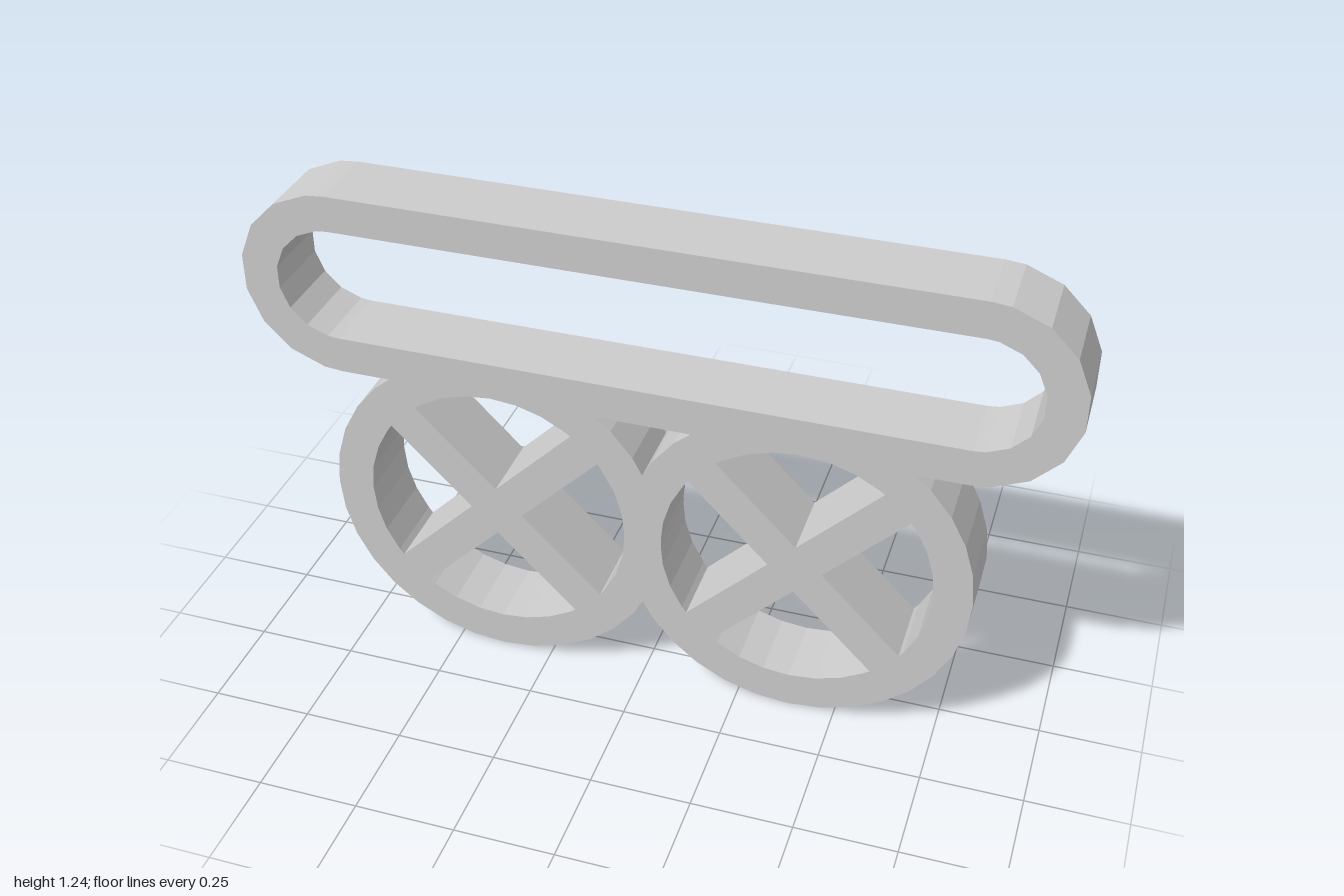
import * as THREE from 'three';

const DEPTH = 0.188;

// Points on a circular arc, angles in degrees
function arc(cx, cy, r, angles) {
  return angles.map((a) => {
    const t = THREE.MathUtils.degToRad(a);
    return new THREE.Vector2(cx + r * Math.cos(t), cy + r * Math.sin(t));
  });
}

// Flat plate of even thickness centred on z = 0
function plate(name, outline, holes, material) {
  const shape = new THREE.Shape(outline);
  shape.holes = holes.map((h) => new THREE.Path(h));
  const geometry = new THREE.ExtrudeGeometry(shape, { depth: DEPTH, bevelEnabled: false });
  geometry.translate(0, 0, -DEPTH / 2);
  const mesh = new THREE.Mesh(geometry, material);
  mesh.name = name;
  return mesh;
}

// Long slot outline with coarsely faceted round ends
function slot(cx, cy, r) {
  const end = [-90];
  for (let a = -78.75; a < 90; a += 22.5) end.push(a);
  end.push(90);
  return [...arc(cx, cy, r, end), ...arc(-cx, cy, r, end.map((a) => a + 180))];
}

// Rim with two crossed spokes, left as four sector openings
function wheel(name, cx, cy, material) {
  const outer = 0.429, inner = 0.335, spoke = 0.094, step = 11.25;
  const rim = [];
  for (let i = 0; i < 32; i++) rim.push(i * step);
  const limit = 45 - THREE.MathUtils.radToDeg(Math.asin(spoke / 2 / inner));
  const sector = [-limit];
  for (let i = -3; i <= 3; i++) sector.push(i * step);
  sector.push(limit);
  const holes = [0, 90, 180, 270].map((turn) => [
    ...arc(cx, cy, spoke / Math.SQRT2, [turn]),
    ...arc(cx, cy, inner, sector.map((a) => a + turn)),
  ]);
  return plate(name, arc(cx, cy, outer, rim), holes, material);
}

export function createModel() {
  const model = new THREE.Group();
  model.name = 'wheeledFrame';
  const grey = new THREE.MeshStandardMaterial({ color: 0xcccccc, flatShading: true });
  grey.name = 'light grey';

  // Long rounded frame on top
  model.add(plate('upperFrame', slot(0.767, 1.003, 0.237), [slot(0.767, 1.004, 0.145)], grey));

  // Pair of spoked wheels below
  model.add(wheel('leftWheel', 0.381, 0.429, grey));
  model.add(wheel('rightWheel', -0.381, 0.429, grey));
  return model;
}
